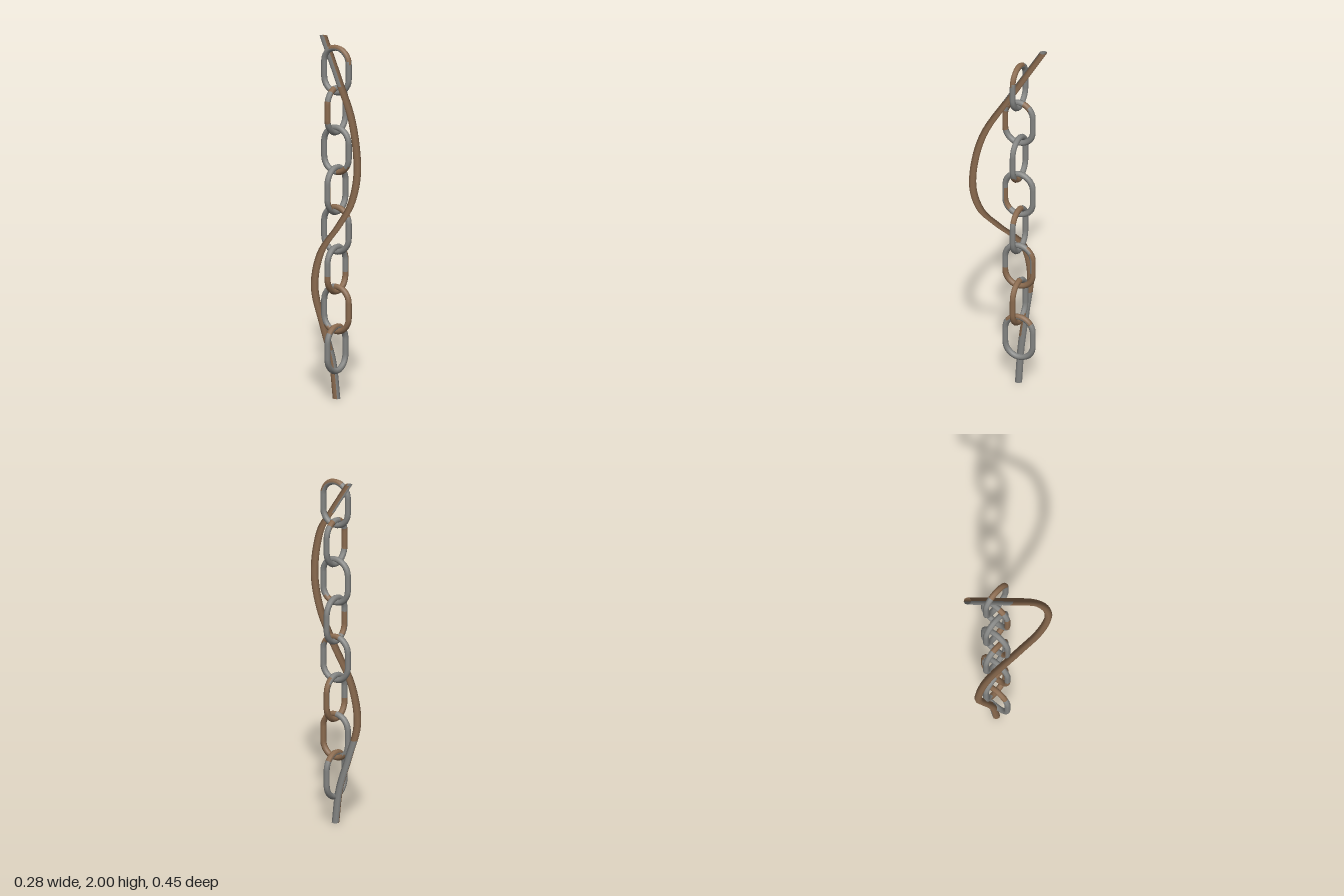
import * as THREE from 'three';

const steel = new THREE.MeshStandardMaterial({ color: 0x858684, side: THREE.DoubleSide });
steel.name = 'dull steel';
const rust = new THREE.MeshStandardMaterial({ color: 0x8c6c50, side: THREE.DoubleSide });
rust.name = 'rust brown';

const AXIS = { x: 0.04, z: -0.054 };

// Closed oval centreline: two half circles joined by straight sides
class OvalCurve extends THREE.Curve {
  constructor(radius, halfStraight) {
    super();
    this.r = radius;
    this.h = halfStraight;
  }
  getPoint(t, target = new THREE.Vector3()) {
    const { r, h } = this;
    const arc = Math.PI * r, side = 2 * h;
    let d = (((t % 1) + 1) % 1) * 2 * (arc + side);
    const flip = d >= arc + side ? -1 : 1;
    if (flip < 0) d -= arc + side;
    if (d < arc) return target.set(flip * r * Math.cos(d / r), flip * (h + r * Math.sin(d / r)), 0);
    return target.set(-flip * r, flip * (h - (d - arc)), 0);
  }
}

// Sort triangles into steel and rust groups by their centre and outward normal
function paint(geometry, isRusty) {
  const { position, normal } = geometry.attributes;
  const index = geometry.index.array;
  const clean = [], rusty = [];
  const c = new THREE.Vector3(), n = new THREE.Vector3(), v = new THREE.Vector3();
  for (let i = 0; i < index.length; i += 6) {
    const quad = Array.from(index.slice(i, i + 6));
    c.set(0, 0, 0);
    n.set(0, 0, 0);
    for (const k of quad) {
      c.addScaledVector(v.fromBufferAttribute(position, k), 1 / 6);
      n.add(v.fromBufferAttribute(normal, k));
    }
    (isRusty(c, n.normalize()) ? rusty : clean).push(...quad);
  }
  geometry.setIndex([...clean, ...rusty]);
  geometry.clearGroups();
  geometry.addGroup(0, clean.length, 0);
  geometry.addGroup(clean.length, rusty.length, 1);
  return geometry;
}

// Rust on each link; u runs across the link, v up it, both from its centre
const linkRust = [
  (u, v, n) => v > 0.03 && u > -0.045 && n.y > 0.1,
  (u, v) => (u < -0.05 && v < 0.06 && v > -0.06) || (v > 0.06 && Math.abs(u) > 0.03 && Math.abs(u) < 0.06),
  (u, v) => v < -0.09 && u > 0,
  (u, v, n) => u < -0.05 && v < 0.03 && n.x > 0,
  (u, v) => v > 0.08 && u > -0.02,
  (u, v, n) => v < -0.03 || (u > 0.05 && n.x > 0.3),
  (u, v) => u > 0 || v < -0.1,
  (u, v, n) => v > 0.1 && n.y > 0,
];

function makeLink(i) {
  const geometry = new THREE.TubeGeometry(new OvalCurve(0.083, 0.042), 40, 0.0168, 8, true);
  const sideways = i % 2 === 0;
  if (sideways) geometry.rotateY(-Math.PI / 2);
  paint(geometry, (c, n) => linkRust[i](sideways ? c.z : c.x, c.y, n));
  const link = new THREE.Mesh(geometry, [steel, rust]);
  link.name = 'chainLink' + (i + 1);
  link.position.set(AXIS.x, 1.841 - i * 0.2233, AXIS.z);
  return link;
}

// Winding vine: level eight-sided sections shifted along a path
function makeVine() {
  const path = [
    [0.038, 0, -0.052], [0.04, 0.2, -0.08], [0.041, 0.4, -0.145], [0.041, 0.6, -0.202],
    [0.02, 0.8, -0.15], [-0.05, 1.0, 0.03], [-0.1, 1.15, 0.15], [-0.12, 1.34, 0.204],
    [-0.088, 1.6, 0.146], [0.012, 1.8, -0.02], [0.119, 2, -0.2],
  ].map((p) => new THREE.Vector3(...p));
  const curve = new THREE.CatmullRomCurve3(path);
  const rows = 60;
  const geometry = new THREE.CylinderGeometry(0.021, 0.021, 1, 8, rows, true);
  const p = geometry.attributes.position;
  for (let i = 0; i < p.count; i++) {
    const c = curve.getPoint(THREE.MathUtils.clamp(p.getY(i) + 0.5, 0, 1));
    p.setXYZ(i, p.getX(i) + c.x, c.y, p.getZ(i) + c.z);
  }
  // Bare near the foot on its left side and near the tip underneath
  paint(geometry, (c, n) => {
    const foot = (c.y < 0.5 && n.x > 0.2) || (c.y < 0.28 && n.x > -0.5 && n.z > 0);
    const tip = c.y > 1.78 && n.x + n.z < -0.3;
    return !foot && !tip;
  });
  const vine = new THREE.Mesh(geometry, [steel, rust]);
  vine.name = 'windingVine';
  return vine;
}

export function createModel() {
  const model = new THREE.Group();
  model.name = 'chainWithVine';
  const chain = new THREE.Group();
  chain.name = 'chain';
  for (let i = 0; i < 8; i++) chain.add(makeLink(i));
  model.add(chain, makeVine());
  return model;
}
